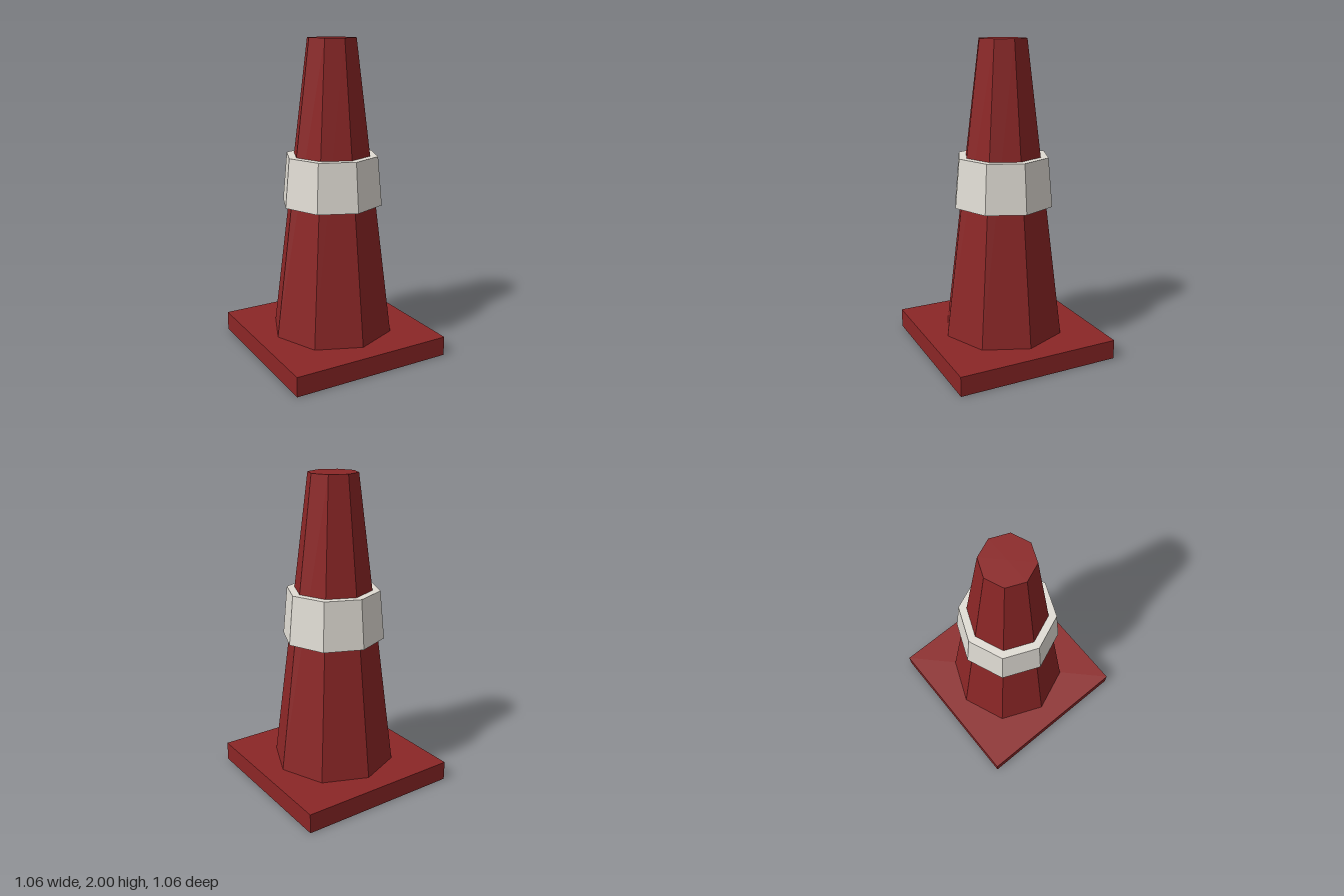
import * as THREE from 'three';

export function createModel() {
  const model = new THREE.Group();
  const red = new THREE.MeshStandardMaterial({ color: 0x8b2626, flatShading: true });
  const white = new THREE.MeshStandardMaterial({ color: 0xe0dcd4, flatShading: true });

  const add = (name, geometry, material, y) => {
    const mesh = new THREE.Mesh(geometry, material);
    mesh.name = name;
    mesh.position.y = y;
    model.add(mesh);
  };

  // Eight-sided frustum standing between two heights
  const frustum = (name, rTop, rBottom, y0, y1, material) =>
    add(name, new THREE.CylinderGeometry(rTop, rBottom, y1 - y0, 8), material, (y0 + y1) / 2);

  // Square foot plate
  add('base', new THREE.BoxGeometry(1.062, 0.125, 1.062), red, 0.0625);

  // Tapered body
  frustum('cone', 0.156, 0.397, 0.125, 2, red);

  // Pale collar around the body
  frustum('band', 0.298, 0.327, 0.972, 1.282, white);

  return model;
}
